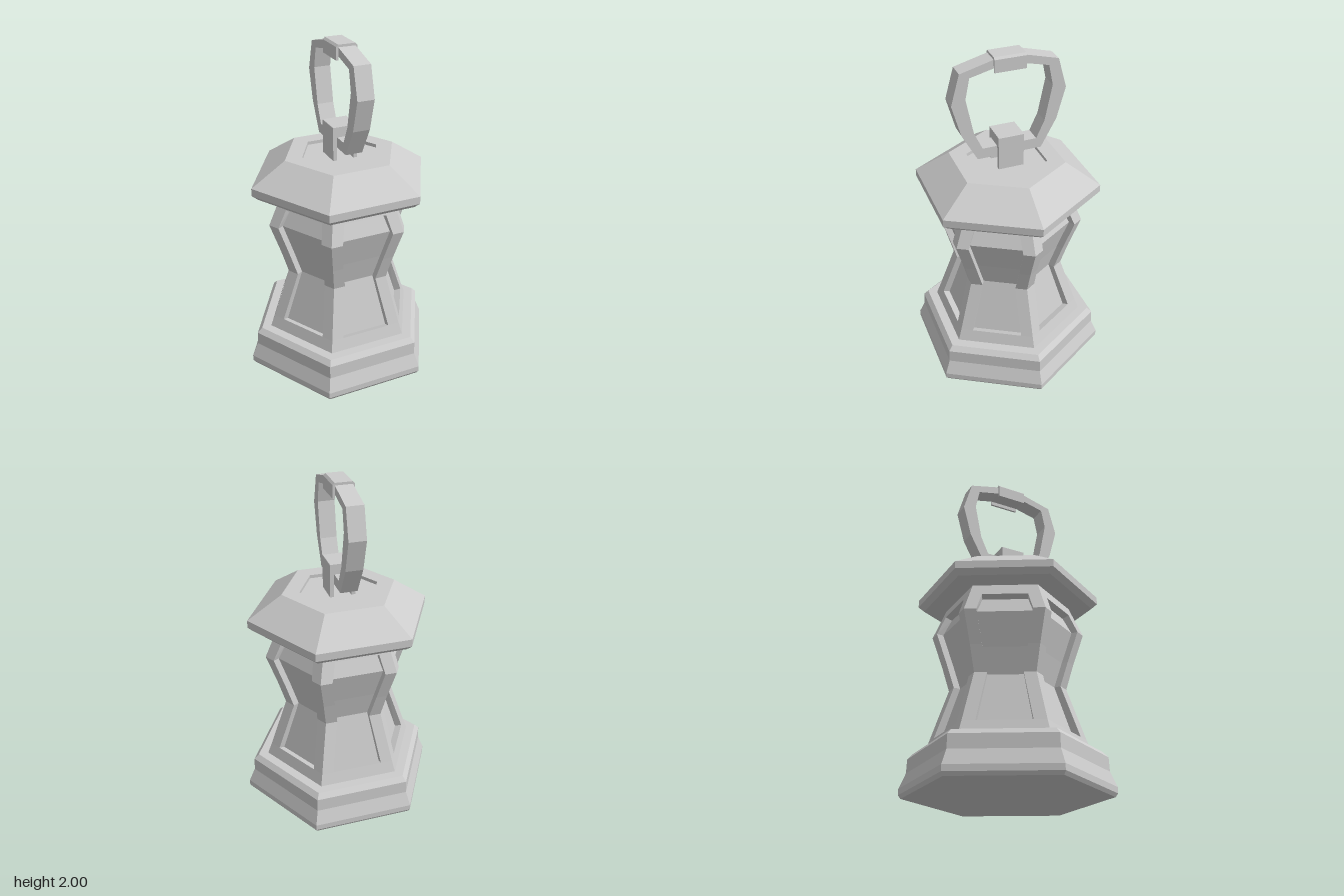
import * as THREE from 'three';

const material = new THREE.MeshStandardMaterial({ color: 0xcccccc, flatShading: true });

function addMesh(group, name, geometry) {
  const mesh = new THREE.Mesh(geometry, material);
  mesh.name = name;
  group.add(mesh);
  return mesh;
}

const toVectors = (points) => points.map(([x, y]) => new THREE.Vector2(x, y));

// Six-sided turned solid with corners on the x axis; profile runs bottom to top
const hexLathe = (profile) => new THREE.LatheGeometry(toVectors(profile), 6, Math.PI / 2);

// Extrusion centred on z = 0
function extrudeCentred(shape, depth) {
  return new THREE.ExtrudeGeometry(shape, { depth, bevelEnabled: false }).translate(0, 0, -depth / 2);
}

// Waisted body: every side is a frame around a sunken panel
function bodySide() {
  // [y, corner radius, panel half width]
  const rows = [
    [0.24, 0.473, 0], [0.32, 0.443, 0.15], [0.62, 0.34, 0.1],
    [0.77, 0.385, 0.126], [0.96, 0.45, 0.156], [1.07, 0.402, 0.13], [1.15, 0.367, 0],
  ];
  const depth = 0.04, positions = [];
  const apothem = (i) => rows[i][1] * Math.cos(Math.PI / 6);
  const corner = (i, s) => [s * rows[i][1] / 2, rows[i][0], apothem(i)];
  const rim = (i, s) => [s * rows[i][2], rows[i][0], apothem(i)];
  const sunk = (i, s) => {
    const drop = i === 1 || i === 5 ? 0.015 : 0;
    return [s * rows[i][2], rows[i][0] - drop, apothem(i) - depth];
  };
  // Corners run counter-clockwise as seen from outside
  const quad = (a, b, c, d) => positions.push(...a, ...b, ...c, ...a, ...c, ...d);

  for (let i = 1; i < 5; i++) {
    const j = i + 1;
    quad(corner(i, -1), rim(i, -1), rim(j, -1), corner(j, -1));
    quad(rim(i, 1), corner(i, 1), corner(j, 1), rim(j, 1));
    quad(rim(i, -1), sunk(i, -1), sunk(j, -1), rim(j, -1));
    quad(sunk(i, 1), rim(i, 1), rim(j, 1), sunk(j, 1));
    quad(sunk(i, -1), sunk(i, 1), sunk(j, 1), sunk(j, -1));
  }
  // Frame strips, sill and head of the panel
  quad(corner(0, -1), corner(0, 1), corner(1, 1), corner(1, -1));
  quad(corner(5, -1), corner(5, 1), corner(6, 1), corner(6, -1));
  quad(rim(1, -1), rim(1, 1), sunk(1, 1), sunk(1, -1));
  quad(sunk(5, -1), sunk(5, 1), rim(5, 1), rim(5, -1));

  const geometry = new THREE.BufferGeometry();
  geometry.setAttribute('position', new THREE.Float32BufferAttribute(positions, 3));
  geometry.computeVertexNormals();
  return geometry;
}

// Upside-down U that straddles the ring
function saddle(outer, inner, bottom, under, top, chamfer, length) {
  const shape = new THREE.Shape(toVectors([
    [-outer, bottom], [-inner, bottom], [-inner, under], [inner, under], [inner, bottom],
    [outer, bottom], [outer, top - chamfer], [outer - chamfer, top],
    [chamfer - outer, top], [-outer, top - chamfer],
  ]));
  return extrudeCentred(shape, length);
}

// Closes a half outline by mirroring it left to right
const mirrored = (half) => toVectors([...half, ...half.map(([x, y]) => [-x, y]).reverse()]);

export function createModel() {
  const model = new THREE.Group();
  model.name = 'lantern';

  addMesh(model, 'base', hexLathe([
    [0, 0], [0.585, 0], [0.6, 0.02], [0.6, 0.055], [0.563, 0.14],
    [0.56, 0.22], [0.53, 0.25], [0, 0.25],
  ]));

  const body = new THREE.Group();
  body.name = 'body';
  model.add(body);
  const side = bodySide();
  for (let i = 0; i < 6; i++) {
    addMesh(body, 'bodyPanel', side).rotation.y = i * Math.PI / 3;
  }

  // Roof with a shallow sunken top
  addMesh(model, 'roof', hexLathe([
    [0, 1.14], [0.51, 1.14], [0.545, 1.17], [0.545, 1.215],
    [0.34, 1.35], [0.235, 1.35], [0.235, 1.33], [0, 1.33],
  ]));

  addMesh(model, 'ringBracket', saddle(0.075, 0.051, 1.33, 1.47, 1.53, 0.002, 0.15));

  // Carrying ring, standing in the yz plane
  const ringShape = new THREE.Shape(mirrored([
    [0.19, 1.408], [0.28, 1.575], [0.33, 1.76], [0.28, 1.936], [0.09, 1.986],
  ]));
  ringShape.holes.push(new THREE.Path(mirrored([
    [0.16, 1.47], [0.208, 1.575], [0.25, 1.785], [0.225, 1.905], [0.09, 1.938],
  ])));
  addMesh(model, 'ring', extrudeCentred(ringShape, 0.1).rotateY(Math.PI / 2));

  addMesh(model, 'ringGrip', saddle(0.062, 0.05, 1.915, 1.985, 2, 0.012, 0.18));

  return model;
}
